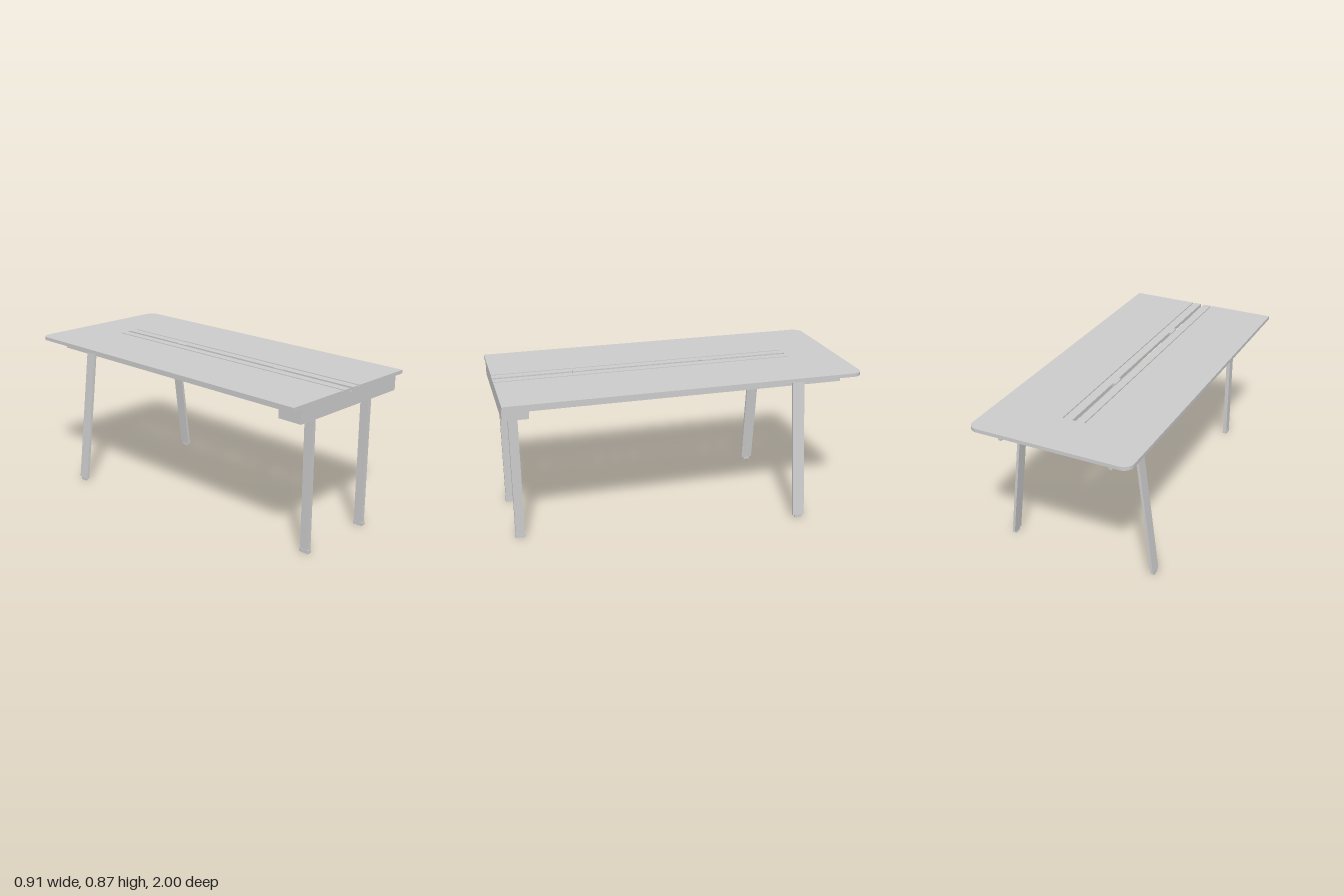
import * as THREE from 'three';

export function createModel() {
  const model = new THREE.Group();
  const mat = new THREE.MeshStandardMaterial({ color: 0xcccccc });

  const add = (name, geometry) => {
    const mesh = new THREE.Mesh(geometry, mat);
    mesh.name = name;
    model.add(mesh);
    return mesh;
  };
  // Box given by its limits on each axis
  const box = (name, x0, x1, y0, y1, z0, z1) => {
    const g = new THREE.BoxGeometry(x1 - x0, y1 - y0, z1 - z0);
    g.translate((x0 + x1) / 2, (y0 + y1) / 2, (z0 + z1) / 2);
    return add(name, g);
  };
  // Box on one side and its mirror image across x = 0
  const pair = (name, x0, x1, ...rest) => {
    box(name + 'Left', x0, x1, ...rest);
    box(name + 'Right', -x1, -x0, ...rest);
  };

  const W = 0.455, TOP = 0.86, UNDER = 0.84, SEAM = -0.71;

  // Rounded end of the table top (shape y becomes -z)
  const r = 0.055;
  const end = new THREE.Shape();
  end.moveTo(-W, -SEAM);
  end.lineTo(W, -SEAM);
  end.lineTo(W, 1 - r);
  end.absarc(W - r, 1 - r, r, 0, Math.PI / 2);
  end.lineTo(-W + r, 1);
  end.absarc(-W + r, 1 - r, r, Math.PI / 2, Math.PI);
  const endGeo = new THREE.ExtrudeGeometry(end, { depth: TOP - UNDER, bevelEnabled: false, curveSegments: 10 });
  endGeo.rotateX(-Math.PI / 2).translate(0, UNDER, 0);
  add('roundedEndPanel', endGeo);

  // Long top panels, centre flaps and recessed groove strips
  pair('topPanel', 0.068, W, UNDER, TOP, SEAM, 1);
  pair('grooveStrip', 0.058, 0.068, UNDER, 0.853, SEAM, 1);
  pair('centreFlap', 0.011, 0.058, UNDER, TOP, SEAM, 1);

  // Clips in the centre slot, with brackets below
  for (const z of [0.52, -0.23]) {
    box('slotClip', -0.009, 0.009, UNDER, 0.865, z - 0.035, z + 0.035);
    box('bracket', -0.1, 0.1, 0.785, UNDER, z - 0.01, z + 0.01);
  }

  // Under-frame
  box('frontBeam', -0.395, 0.395, 0.76, UNDER, 0.857, 0.998);
  pair('outerRail', 0.305, 0.325, 0.775, UNDER, -0.925, 0.857);
  pair('innerRail', 0.097, 0.113, 0.775, UNDER, -0.637, 0.857);
  box('rearCrossbar', -0.328, 0.328, 0.775, UNDER, -0.652, -0.637);

  // Straight front legs with feet
  pair('frontLeg', 0.223, 0.247, 0.02, 0.76, 0.902, 0.953);
  pair('frontFoot', 0.221, 0.249, 0, 0.02, 0.899, 0.956);

  // Splayed rear legs with feet
  for (const [s, side] of [[1, 'Left'], [-1, 'Right']]) {
    const leg = new THREE.BoxGeometry(0.015, 0.82, 0.068);
    leg.translate(0, 0.425, 0);
    const p = leg.attributes.position;
    for (let i = 0; i < p.count; i++) {
      p.setX(i, p.getX(i) + s * (0.437 - 0.125 * p.getY(i)));
    }
    leg.translate(0, 0, -0.662);
    leg.computeVertexNormals();
    add('rearLeg' + side, leg);
  }
  pair('rearFoot', 0.428, 0.443, 0, 0.016, -0.682, -0.642);

  return model;
}
